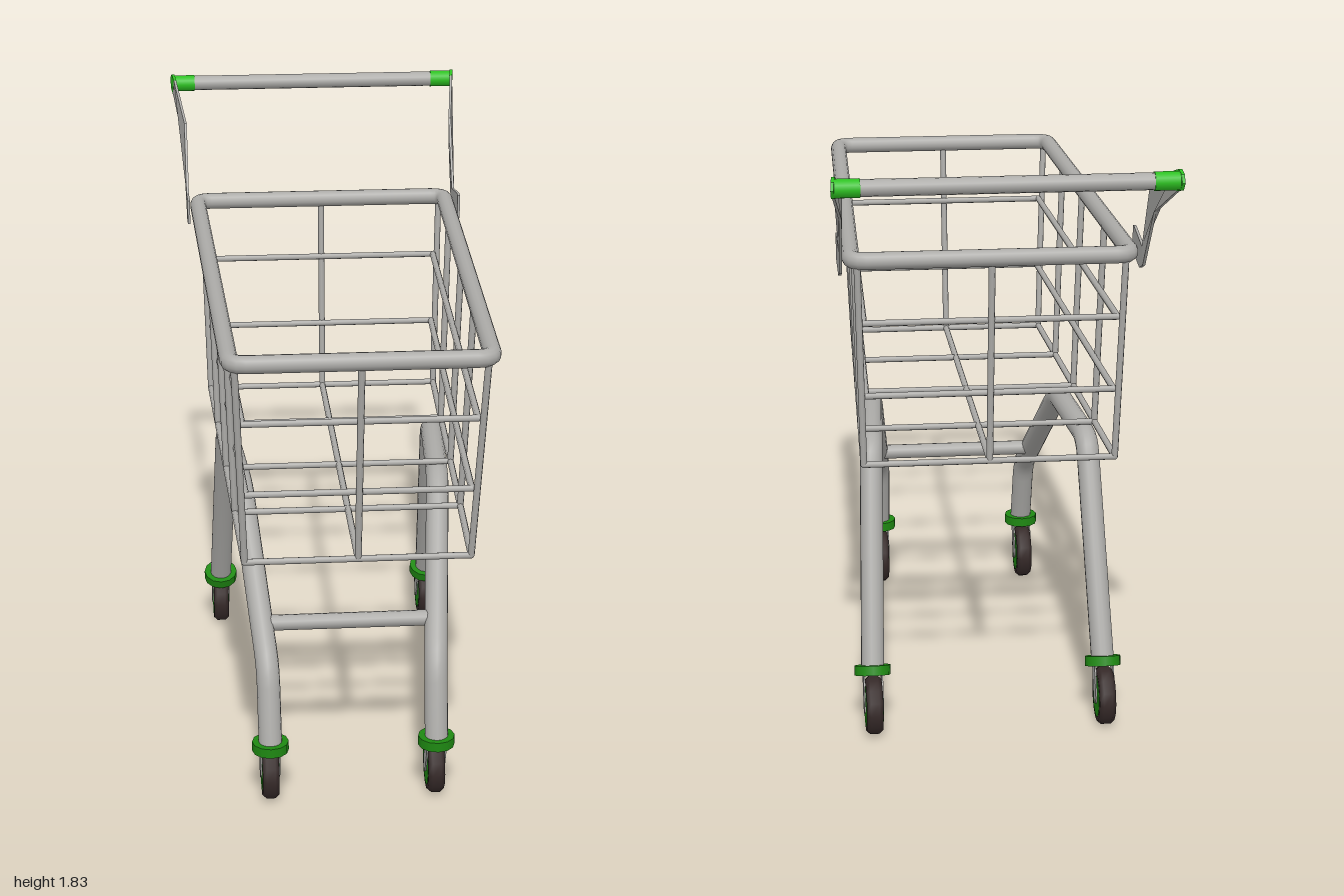
import * as THREE from 'three';

const mat = (name, color, side = THREE.FrontSide) => {
  const m = new THREE.MeshStandardMaterial({ color, side });
  m.name = name;
  return m;
};
const V = (x, y, z) => new THREE.Vector3(x, y, z);

// Curve that visits exactly the given points, so straight runs stay straight
class PointPath extends THREE.Curve {
  constructor(pts, closed) {
    super();
    this.pts = pts;
    this.closed = closed;
  }
  getPointAt(u, target = V(0, 0, 0)) {
    return target.copy(this.pts[Math.round(u * (this.pts.length - 1))]);
  }
  getTangentAt(u, target = V(0, 0, 0)) {
    const p = this.pts, n = p.length - 1, i = Math.round(u * n);
    const prev = i > 0 ? i - 1 : this.closed ? n - 1 : 0;
    const next = i < n ? i + 1 : this.closed ? 1 : n;
    const a = p[i].clone().sub(p[prev]).normalize();
    return target.copy(p[next]).sub(p[i]).normalize().add(a).normalize();
  }
}

// Replace the corner b between a and c by a short arc
function bend(a, b, c, r) {
  const s = b.clone().add(a.clone().sub(b).setLength(r));
  const e = b.clone().add(c.clone().sub(b).setLength(r));
  return new THREE.QuadraticBezierCurve3(s, b, e).getPoints(4);
}

// Upright plate from an outline of (-z, y) points, flaring outward toward the handle bar
function flaredPlate(outline, thickness, side) {
  const shape = new THREE.Shape(outline.map(p => new THREE.Vector2(...p)));
  const geo = new THREE.ExtrudeGeometry(shape, { depth: thickness, bevelEnabled: false });
  geo.translate(0, 0, -thickness / 2).rotateY(Math.PI / 2);
  const pos = geo.attributes.position;
  for (let i = 0; i < pos.count; i++) {
    const flare = Math.max(0, -pos.getZ(i) - 0.71) / 0.25 * 0.033;
    pos.setX(i, pos.getX(i) + side * (0.438 + flare));
  }
  geo.computeVertexNormals();
  return geo;
}

export function createModel() {
  const root = new THREE.Group();
  root.name = 'shoppingCart';
  const steel = mat('steel grey', 0xacaba8, THREE.DoubleSide);
  const grip = mat('bright green', 0x2cc020);
  const green = mat('dark green', 0x1e8812);
  const rubber = mat('tyre black', 0x362a29, THREE.DoubleSide);

  const add = (parent, name, geo, material, x = 0, y = 0, z = 0) => {
    const m = new THREE.Mesh(geo, material);
    m.name = name;
    m.position.set(x, y, z);
    parent.add(m);
    return m;
  };
  const rod = (parent, name, a, b, r, sides = 8) => {
    const m = add(parent, name, new THREE.CylinderGeometry(r, r, a.distanceTo(b), sides), steel);
    m.position.copy(a).add(b).multiplyScalar(0.5);
    m.quaternion.setFromUnitVectors(V(0, 1, 0), b.clone().sub(a).normalize());
    return m;
  };
  const tube = (parent, name, pts, r, closed, sides = 14) =>
    add(parent, name, new THREE.TubeGeometry(new PointPath(pts, closed), pts.length - 1, r, sides, closed), steel);

  // Basket: a tapering box of wires; t = 0 at the floor, 1 at the rim
  const basket = new THREE.Group();
  basket.name = 'basket';
  root.add(basket);
  const mix = THREE.MathUtils.lerp;
  const yFloor = 0.867, yRim = 1.503, wire = 0.01;
  const section = t => ({
    y: mix(yFloor, yRim, t),
    front: mix(0.87, 0.968, t), back: mix(-0.54, -0.592, t),
    xf: mix(0.325, 0.35, t), xb: mix(0.375, 0.39, t),
  });
  const corners = (t, inset = 0) => {
    const s = section(t), f = s.front - inset, b = s.back + inset * 0.5;
    const xf = s.xf - inset, xb = s.xb - inset;
    return [V(xf, s.y, f), V(-xf, s.y, f), V(-xb, s.y, b), V(xb, s.y, b)];
  };
  const sidePoint = (t, z, side) => {
    const s = section(t);
    return V(side * mix(s.xb, s.xf, (z - s.back) / (s.front - s.back)), s.y, z);
  };

  // Thick rim with rounded corners
  const rc = [[0.362, 0.97], [-0.362, 0.97], [-0.407, -0.592], [0.407, -0.592]].map(([x, z]) => V(x, yRim, z));
  const rim = [];
  rc.forEach((c, i) => rim.push(...bend(rc[(i + 3) % 4], c, rc[(i + 1) % 4], 0.045)));
  rim.push(rim[0].clone());
  tube(basket, 'rim', rim, 0.026, true);

  // Horizontal wire rings; the upper two run just inside the uprights
  for (const [y, inset] of [[yFloor, 0], [1.083, 0.014], [1.31, 0.014]]) {
    const c = corners((y - yFloor) / (yRim - yFloor), inset);
    c.forEach((p, i) => {
      rod(basket, 'ringWire', p, c[(i + 1) % 4], wire);
      add(basket, 'wireCorner', new THREE.SphereGeometry(wire, 8, 6), steel, p.x, p.y, p.z);
    });
  }
  // Corner uprights, end uprights and the long floor wire
  const low = corners(0), high = corners(1);
  low.forEach((p, i) => rod(basket, 'cornerWire', p, high[i], wire));
  const s0 = section(0), s1 = section(1);
  rod(basket, 'frontWire', V(0, s0.y, s0.front), V(0, s1.y, s1.front), wire);
  rod(basket, 'backWire', V(0, s0.y, s0.back), V(0, s1.y, s1.back), wire);
  rod(basket, 'floorWire', V(0, s0.y, s0.front), V(0, s0.y, s0.back), wire);
  // Side uprights and floor cross wires
  for (const [zLow, zTop] of [[0.513, 0.55], [0.165, 0.17], [-0.207, -0.232]]) {
    for (const side of [-1, 1])
      rod(basket, 'sideWire', sidePoint(0, zLow, side), sidePoint(1, zTop, side), wire);
    rod(basket, 'floorCrossWire', sidePoint(0, zLow, -1), sidePoint(0, zLow, 1), wire);
  }

  // Caster: collar, fork and wheel, with the wheel set off from the collar
  const tyreGeo = new THREE.LatheGeometry(
    [[0.06, -0.025], [0.079, -0.025], [0.09, -0.013], [0.09, 0.013], [0.079, 0.025], [0.06, 0.025]]
      .map(p => new THREE.Vector2(...p)), 14).rotateZ(Math.PI / 2);
  const hubGeo = new THREE.CylinderGeometry(0.066, 0.066, 0.052, 14).rotateZ(Math.PI / 2);
  const collarGeo = new THREE.CylinderGeometry(0.055, 0.055, 0.03, 12);
  const forkEndGeo = new THREE.CylinderGeometry(0.025, 0.025, 0.005, 12).rotateZ(Math.PI / 2);
  const caster = (name, x, zWheel, yCollar, zCollar, tilt) => {
    const g = new THREE.Group();
    g.name = name;
    g.position.set(x, 0.093, zWheel);
    root.add(g);
    const dz = zCollar - zWheel, dy = yCollar - 0.093;
    add(g, 'tyre', tyreGeo, rubber);
    add(g, 'hub', hubGeo, green);
    add(g, 'collar', collarGeo, green, 0, dy, dz).rotation.x = tilt;
    for (const side of [-1, 1]) {
      const plate = new THREE.BoxGeometry(0.005, Math.hypot(dy, dz), 0.05);
      add(g, 'forkPlate', plate, steel, side * 0.0275, dy / 2, dz / 2).rotation.x = Math.atan2(dz, dy);
      add(g, 'forkEnd', forkEndGeo, steel, side * 0.0275);
    }
  };

  // Bent leg tubes, one per side
  for (const side of [-1, 1]) {
    const p = [[0.25, 0.2, 0.738], [0.252, 0.43, 0.675], [0.305, 0.828, 0.205], [0.335, 0.828, -0.245], [0.355, 0.18, -0.51]]
      .map(([x, y, z]) => V(side * x, y, z));
    const path = [p[0]];
    for (let i = 1; i < 4; i++) path.push(...bend(p[i - 1], p[i], p[i + 1], 0.06));
    path.push(p[4]);
    tube(root, 'legTube', path, 0.035, false, 16);
    caster('frontCaster', side * 0.25, 0.688, 0.199, 0.735, 0);
    caster('rearCaster', side * 0.355, -0.548, 0.191, -0.507, 0.35);
  }
  rod(root, 'legCrossBar', V(-0.26, 0.522, 0.562), V(0.26, 0.522, 0.562), 0.024, 12);

  // Handle: flat flaring arms, coloured tips and end grips, round bar
  const armOutline = [[0.435, 1.55], [0.455, 1.552], [0.595, 1.527], [0.71, 1.735], [0.928, 1.826],
    [0.952, 1.773], [0.75, 1.665], [0.615, 1.475], [0.56, 1.453], [0.435, 1.473]];
  const tipOutline = [[0.928, 1.826], [0.966, 1.837], [0.99, 1.828], [1.0, 1.805], [0.985, 1.782], [0.952, 1.773]];
  const handle = new THREE.Group();
  handle.name = 'handle';
  root.add(handle);
  for (const side of [-1, 1]) {
    add(handle, 'handleArm', flaredPlate(armOutline, 0.008, side), steel);
    add(handle, 'handleTip', flaredPlate(tipOutline, 0.009, side), grip);
    add(handle, 'endGrip', new THREE.CylinderGeometry(0.027, 0.027, 0.07, 12).rotateZ(Math.PI / 2),
      grip, side * 0.435, 1.806, -0.97);
  }
  rod(handle, 'handleBar', V(-0.42, 1.806, -0.97), V(0.42, 1.806, -0.97), 0.024, 14);

  return root;
}
